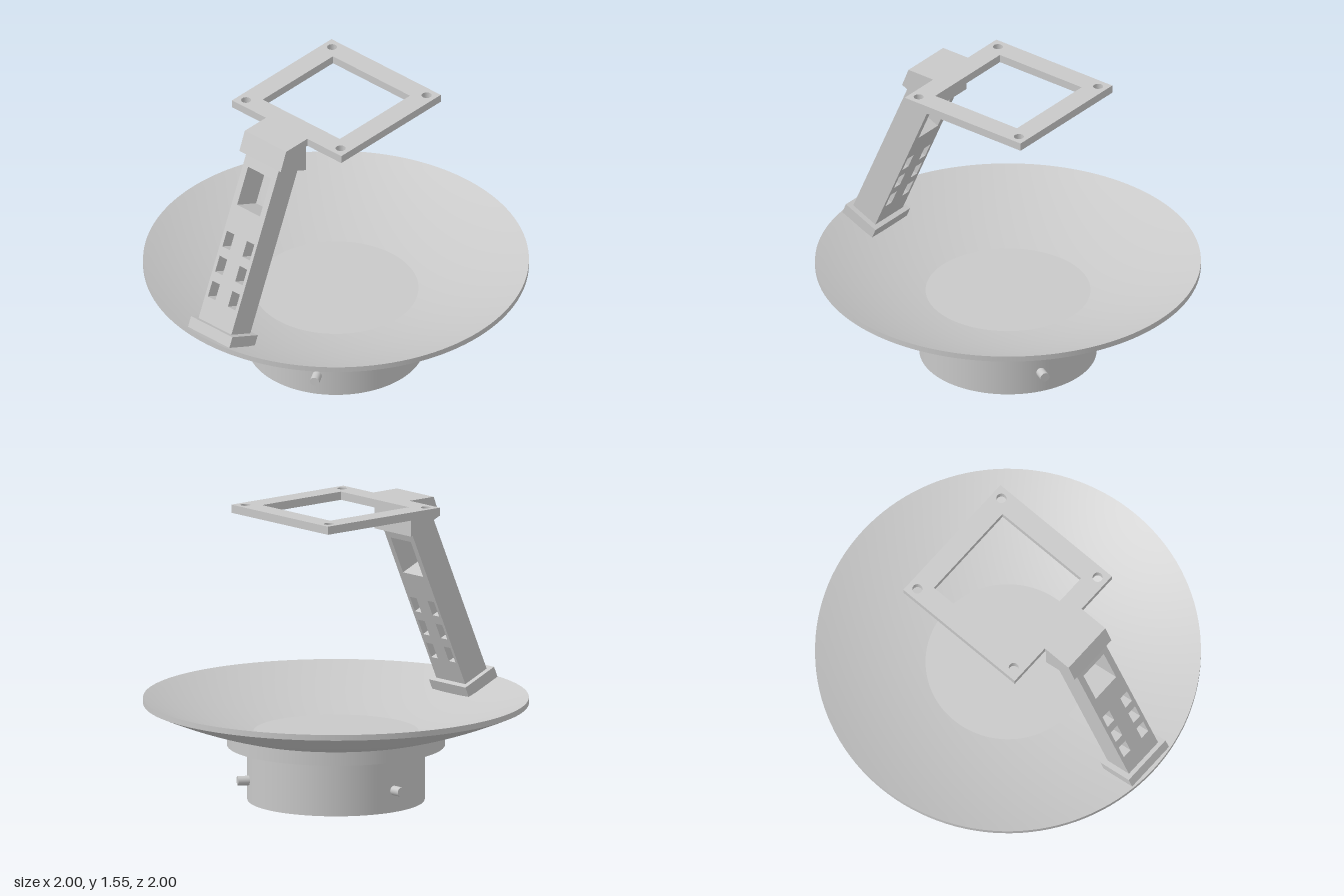
import * as THREE from 'three';

export function createModel() {
  const model = new THREE.Group();
  const grey = new THREE.MeshStandardMaterial({ color: 0xc8c8c8 });
  grey.name = 'light grey';

  const add = (name, geometry, parent = model) => {
    const mesh = new THREE.Mesh(geometry, grey);
    mesh.name = name;
    parent.add(mesh);
    return mesh;
  };
  const rect = (x0, y0, x1, y1, Type = THREE.Shape) => new Type([
    new THREE.Vector2(x0, y0), new THREE.Vector2(x1, y0),
    new THREE.Vector2(x1, y1), new THREE.Vector2(x0, y1)]);
  const extrude = (shape, depth) =>
    new THREE.ExtrudeGeometry(shape, { depth, bevelEnabled: false, curveSegments: 16 });

  // Base drum and the wider collar under the dish
  add('base', new THREE.CylinderGeometry(0.46, 0.46, 0.29, 96)).position.y = 0.145;
  add('collar', new THREE.CylinderGeometry(0.565, 0.565, 0.072, 96)).position.y = 0.324;

  // Three pegs spaced evenly around the base
  for (let i = 0; i < 3; i++) {
    const a = Math.PI / 3 + i * Math.PI * 2 / 3;
    const geometry = new THREE.CylinderGeometry(0.025, 0.025, 0.1, 24);
    geometry.rotateZ(-Math.PI / 2).translate(0.47, 0.115, 0);
    add('peg', geometry).rotation.y = -a;
  }

  // Shallow dish: separate surfaces keep the rim edges sharp
  const bowl = (bottom, r0) => {
    const points = [];
    for (let i = 0; i <= 24; i++) {
      const r = r0 + (1 - r0) * i / 24;
      points.push(new THREE.Vector2(r, bottom + 0.2185 * r * r));
    }
    return points;
  };
  add('dishUnderside', new THREE.LatheGeometry(bowl(0.29, 0.5), 128));
  add('dishRim', new THREE.LatheGeometry(
    [new THREE.Vector2(1, 0.5085), new THREE.Vector2(1, 0.5385)], 128));
  add('dishInside', new THREE.LatheGeometry(bowl(0.32, 0).reverse(), 128));

  // Leaning arm with its foot on the dish
  const arm = new THREE.Group();
  arm.name = 'arm';
  arm.position.set(0, 0.4975, 0.8825);
  arm.rotation.x = -0.409;
  model.add(arm);
  add('foot', new THREE.BoxGeometry(0.29, 0.06, 0.213), arm).position.y = 0.03;

  // Post with one large window and two columns of slots
  const post = rect(-0.115, 0.05, 0.115, 1.0);
  post.holes.push(rect(-0.08, 0.709, 0.08, 0.922, THREE.Path));
  for (const y of [0.189, 0.329, 0.469]) {
    for (const x of [-0.07, 0.07]) {
      post.holes.push(rect(x - 0.026, y, x + 0.026, y + 0.088, THREE.Path));
    }
  }
  add('post', extrude(post, 0.159).translate(0, 0, -0.0795), arm);

  // Bracket joining the post to the frame (side profile across x)
  const profile = new THREE.Shape([
    [-0.543, 1.548], [-0.585, 1.443], [-0.389, 1.357], [-0.389, 1.548],
  ].map(([x, y]) => new THREE.Vector2(x, y)));
  add('bracket', extrude(profile, 0.29).translate(0, 0, -0.145).rotateY(Math.PI / 2));
  add('neck', new THREE.BoxGeometry(0.29, 0.043, 0.012)).position.set(0, 1.5265, 0.385);

  // Square frame with window and corner screw holes
  const frame = rect(-0.383, -0.383, 0.383, 0.383);
  frame.holes.push(rect(-0.27, -0.27, 0.27, 0.27, THREE.Path));
  for (const x of [-0.331, 0.331]) {
    for (const y of [-0.331, 0.331]) {
      frame.holes.push(new THREE.Path().absarc(x, y, 0.026, 0, Math.PI * 2, true));
    }
  }
  add('frame', extrude(frame, 0.043).rotateX(-Math.PI / 2)).position.set(0, 1.505, -0.003);

  return model;
}
